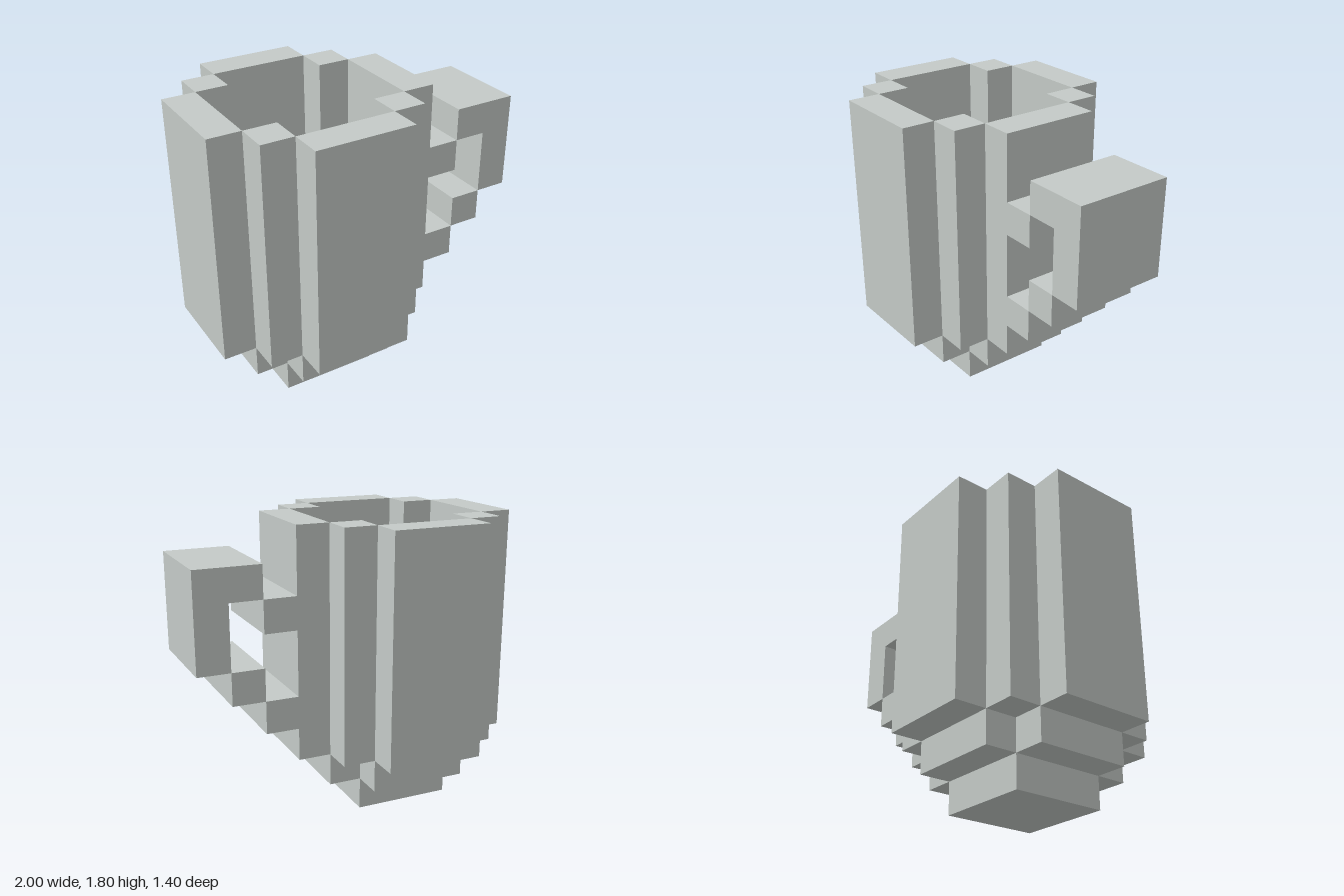
import * as THREE from 'three';

const UNIT = 0.2; // edge of one block
const CUP_X = -0.3; // centre line of the cup

export function createModel() {
  const model = new THREE.Group();
  model.name = 'blockMug';
  const clay = new THREE.MeshStandardMaterial({ color: 0xc4cac7 });
  clay.name = 'paleGrey';

  const add = (name, geometry, parent = model) => {
    const mesh = new THREE.Mesh(geometry, clay);
    mesh.name = name;
    parent.add(mesh);
    return mesh;
  };
  // Box given by its lower and upper corners
  const block = (name, [x0, y0, z0], [x1, y1, z1], parent) =>
    add(name, new THREE.BoxGeometry(x1 - x0, y1 - y0, z1 - z0), parent)
      .position.set((x0 + x1) / 2, (y0 + y1) / 2, (z0 + z1) / 2);
  const extrude = (points, depth) => new THREE.ExtrudeGeometry(
    new THREE.Shape(points.map(([x, y]) => new THREE.Vector2(x, y))),
    { depth, bevelEnabled: false });

  // Walls: four flat sides joined at their edges by four corner posts
  const cup = new THREE.Group();
  cup.name = 'cup';
  cup.position.x = CUP_X;
  model.add(cup);
  for (const s of [-1, 1]) {
    const side = s > 0 ? 'left' : 'right';
    const face = s > 0 ? 'front' : 'back';
    const [a, b] = s > 0 ? [0.5, 0.7] : [-0.7, -0.5];
    block(side + 'Wall', [a, 0.4, -0.3], [b, 1.8, 0.3], cup);
    block(face + 'Wall', [-0.3, 0.4, a], [0.3, 1.8, b], cup);
    for (const t of [-1, 1]) {
      const post = add(face + (t > 0 ? 'Left' : 'Right') + 'Post',
        new THREE.BoxGeometry(UNIT, 1.4, UNIT), cup);
      post.position.set(t * 0.4, 1.1, s * 0.4);
    }
  }

  // Cross-shaped floor, one step below the walls
  const floor = add('floor', extrude([
    [-0.5, -0.3], [-0.3, -0.3], [-0.3, -0.5], [0.3, -0.5], [0.3, -0.3], [0.5, -0.3],
    [0.5, 0.3], [0.3, 0.3], [0.3, 0.5], [-0.3, 0.5], [-0.3, 0.3], [-0.5, 0.3],
  ], UNIT), cup);
  floor.rotation.x = -Math.PI / 2;
  floor.position.y = 0.2;

  // Foot
  block('foot', [-0.3, 0, -0.3], [0.3, 0.2, 0.3], cup);

  // Handle: stepped blocks and an angled grip
  const handle = new THREE.Group();
  handle.name = 'handle';
  model.add(handle);
  for (const [name, x, y] of [['upperStub', 0.4, 1.2], ['lowerStep', 0.6, 0.8], ['lowerStub', 0.4, 0.6]])
    block(name, [x, y, -0.3], [x + UNIT, y + UNIT, 0.3], handle);
  add('grip', extrude([[0.6, 1.4], [0.8, 1.4], [0.8, 1], [1, 1], [1, 1.6], [0.6, 1.6]], 0.6), handle)
    .position.z = -0.3;

  return model;
}
